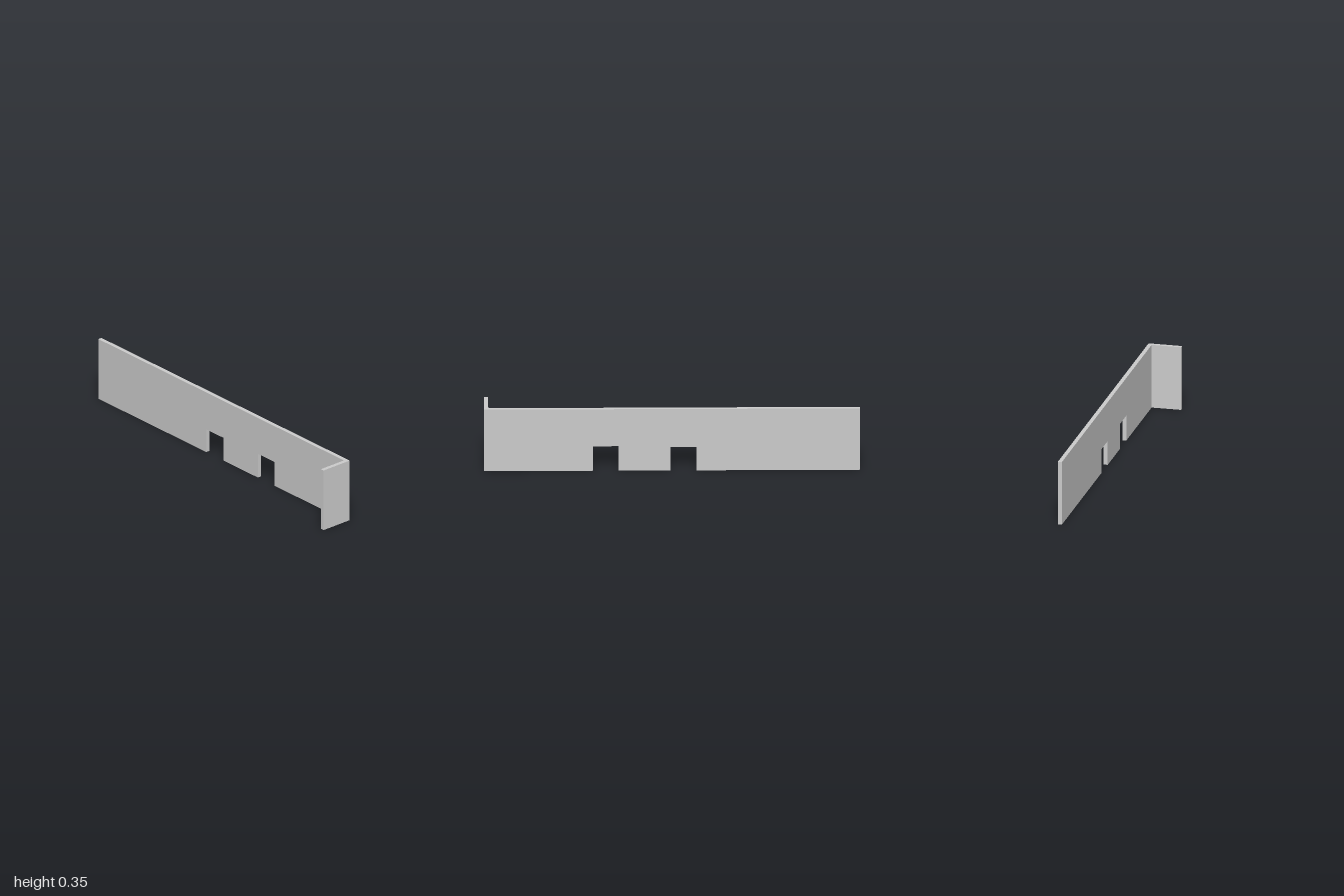
import * as THREE from 'three';

const HEIGHT = 0.352;
const DEPTH = 0.184;
const THICK = 0.022;

export function createModel() {
  const group = new THREE.Group();
  group.name = 'cornerWall';
  const material = new THREE.MeshStandardMaterial({ color: 0xcccccc, flatShading: true });

  // Long wall with rectangular notches cut up from its bottom edge: [x0, x1, height]
  const notches = [[-0.13, 0.01, 0.134], [0.285, 0.42, 0.14]];
  const shape = new THREE.Shape();
  shape.moveTo(-1, 0);
  for (const [x0, x1, h] of notches) {
    shape.lineTo(x0, 0);
    shape.lineTo(x0, h);
    shape.lineTo(x1, h);
    shape.lineTo(x1, 0);
  }
  shape.lineTo(1, 0);
  shape.lineTo(1, HEIGHT);
  shape.lineTo(-1, HEIGHT);
  shape.closePath();

  const wall = new THREE.Mesh(
    new THREE.ExtrudeGeometry(shape, { depth: THICK, bevelEnabled: false }), material);
  wall.name = 'longWall';
  wall.position.z = -DEPTH / 2;
  group.add(wall);

  // Short return wall at the left end, reaching forward
  const returnDepth = DEPTH - THICK;
  const returnWall = new THREE.Mesh(
    new THREE.BoxGeometry(THICK, HEIGHT, returnDepth), material);
  returnWall.name = 'returnWall';
  returnWall.position.set(1 - THICK / 2, HEIGHT / 2, DEPTH / 2 - returnDepth / 2);
  group.add(returnWall);

  return group;
}
